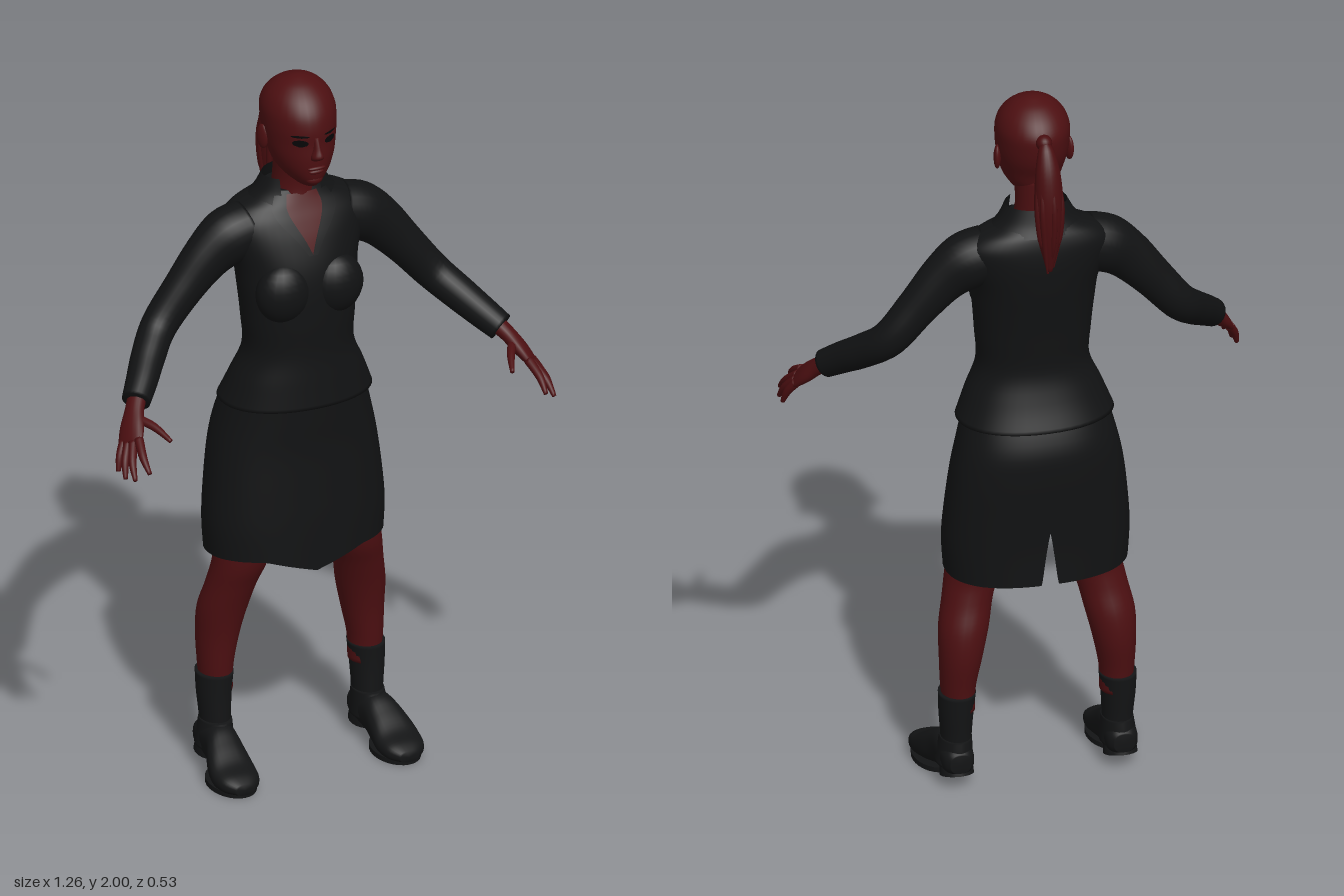
import * as THREE from 'three';
import { mergeVertices } from 'three/addons/utils/BufferGeometryUtils.js';

const material = (name, color, side = THREE.FrontSide) => {
  const m = new THREE.MeshStandardMaterial({ color, side });
  m.name = name;
  return m;
};
const X = new THREE.Vector3(1, 0, 0), Y = new THREE.Vector3(0, 1, 0), Z = new THREE.Vector3(0, 0, 1);

// Smooth interpolation of cross-sections [x, y, z, halfWidth, halfDepth]
function sectionAt(secs, t) {
  const n = secs.length - 1, f = Math.min(Math.max(t, 0), 1) * n, i = Math.min(Math.floor(f), n - 1), k = f - i;
  const at = (j) => secs[Math.min(Math.max(j, 0), n)];
  return secs[0].map((_, c) => {
    const p = at(i - 1)[c], q = at(i)[c], r = at(i + 1)[c], s = at(i + 2)[c];
    return q + 0.5 * k * (r - p + k * (2 * p - 5 * q + 4 * r - s + k * (3 * (q - r) + s - p)));
  });
}

// Finds the parameter of a given height on a rising loft
function tAtHeight(secs, y) {
  let lo = 0, hi = 1;
  for (let i = 0; i < 30; i++) {
    const mid = (lo + hi) / 2;
    if (sectionAt(secs, mid)[1] < y) lo = mid; else hi = mid;
  }
  return lo;
}

// Lofted skin: side is the width axis, up fixes the ring normal (null follows the path)
function loft(secs, o = {}) {
  const { side = X, up = Y, n = 32, rows = (secs.length - 1) * 5, e = 1, cap = true, off = 0, t0 = 0, t1 = 1,
    range = () => [-Math.PI, Math.PI] } = o;
  const pos = [], idx = [];
  const pw = (v) => Math.sign(v) * Math.pow(Math.abs(v), e);
  const ring = (t, k) => {
    const s = sectionAt(secs, t), c = new THREE.Vector3(s[0], s[1], s[2]);
    const a = sectionAt(secs, t - 0.02), b = sectionAt(secs, t + 0.02);
    const T = up ? up.clone() : new THREE.Vector3(b[0] - a[0], b[1] - a[1], b[2] - a[2]).normalize();
    const S = side.clone().addScaledVector(T, -side.dot(T)).normalize();
    const F = S.clone().cross(T);
    const [h0, h1] = range((t - t0) / (t1 - t0));
    for (let i = 0; i <= n; i++) {
      const h = h0 + (h1 - h0) * i / n;
      const p = c.clone().addScaledVector(S, k * (s[3] + off) * pw(Math.sin(h)))
        .addScaledVector(F, k * (s[4] + off) * pw(Math.cos(h)));
      pos.push(p.x, p.y, p.z);
    }
  };
  if (cap) ring(t0, 0);
  for (let j = 0; j <= rows; j++) ring(t0 + (t1 - t0) * j / rows, 1);
  if (cap) ring(t1, 0);
  const w = n + 1, count = pos.length / 3 / w;
  for (let j = 0; j < count - 1; j++) for (let i = 0; i < n; i++) {
    const a = j * w + i;
    idx.push(a, a + 1, a + w + 1, a, a + w + 1, a + w);
  }
  let g = new THREE.BufferGeometry();
  g.setAttribute('position', new THREE.Float32BufferAttribute(pos, 3));
  g.setIndex(idx);
  g = mergeVertices(g, 1e-5);
  g.computeVertexNormals();
  return g;
}

export function createModel() {
  const model = new THREE.Group();
  const skin = material('skin', 0x4c0f11), hair = material('hair', 0x480d0f, THREE.DoubleSide);
  const cloth = material('black cloth', 0x111213, THREE.DoubleSide);
  const leather = material('black leather', 0x131415), dark = material('eye black', 0x070607, THREE.DoubleSide);
  const skinPlate = material('neckline skin', 0x4c0f11, THREE.DoubleSide);
  const add = (name, geo, mat) => {
    const m = new THREE.Mesh(geo, mat);
    m.name = name;
    model.add(m);
    return m;
  };
  const ball = (name, mat, x, y, z, a, b, c) => {
    const m = add(name, new THREE.SphereGeometry(1, 20, 14), mat);
    m.position.set(x, y, z);
    m.scale.set(a, b, c);
    return m;
  };
  // Section from height, half width, front z and back z
  const slab = ([y, a, f, b]) => [0, y, (f + b) / 2, a, (f - b) / 2];

  // Head and neck
  const head = [[1.715, 0.03, 0.045, -0.09], [1.735, 0.052, 0.06, -0.125], [1.765, 0.073, 0.066, -0.14],
    [1.80, 0.086, 0.068, -0.15], [1.84, 0.094, 0.066, -0.167], [1.88, 0.098, 0.066, -0.175],
    [1.92, 0.097, 0.056, -0.174], [1.955, 0.083, 0.032, -0.152], [1.982, 0.056, -0.002, -0.118],
    [1.996, 0.025, -0.035, -0.083], [2.0, 0.004, -0.056, -0.064]].map(slab);
  add('head', loft(head), skin);
  add('neck', loft([[1.60, 0.075, -0.01, -0.15], [1.66, 0.058, -0.025, -0.15], [1.71, 0.053, -0.025, -0.148],
    [1.78, 0.055, -0.01, -0.145]].map(slab)), skin);
  add('nose', loft([[0, 1.803, 0.066, 0.017, 0.012], [0, 1.815, 0.069, 0.017, 0.022], [0, 1.835, 0.066, 0.010, 0.016],
    [0, 1.865, 0.060, 0.007, 0.009]], { n: 14 }), skin);
  ball('upperLip', skin, 0, 1.776, 0.063, 0.026, 0.006, 0.009);
  ball('lowerLip', skin, 0, 1.765, 0.061, 0.022, 0.007, 0.009);
  ball('chin', skin, 0, 1.738, 0.046, 0.025, 0.016, 0.017);
  for (const s of [1, -1]) {
    ball('ear', skin, s * 0.098, 1.833, -0.065, 0.010, 0.035, 0.02).rotation.y = -s * 0.3;
    // Eye and brow plates follow the face
    const mid = s * 0.46;
    const plate = (name, y0, y1, w) => add(name, loft(head, { t0: tAtHeight(head, y0), t1: tAtHeight(head, y1),
      off: 0.002, cap: false, rows: 6, n: 10,
      range: (v) => [mid - w * Math.sqrt(Math.max(0.05, 1 - (2 * v - 1) ** 2)),
        mid + w * Math.sqrt(Math.max(0.05, 1 - (2 * v - 1) ** 2))] }), dark);
    plate('eye', 1.842, 1.862, 0.22);
    plate('brow', 1.868, 1.875, 0.25);
  }

  // Ponytail with loose strands
  ball('hairTie', hair, 0, 1.915, -0.172, 0.022, 0.022, 0.024);
  add('ponytail', loft([[0, 1.56, -0.227, 0.008, 0.008], [0, 1.65, -0.228, 0.028, 0.026], [0, 1.75, -0.222, 0.038, 0.036],
    [0, 1.84, -0.212, 0.034, 0.031], [0, 1.90, -0.195, 0.022, 0.02], [0, 1.925, -0.178, 0.008, 0.012]],
    { n: 20 }), hair);
  for (let i = 0; i < 9; i++) {
    const h = i * 2.4, cx = Math.sin(h), cz = Math.cos(h);
    add('hairStrand', loft([[cx * 0.012, 1.545 + 0.012 * i, -0.228 + cz * 0.012, 0.002, 0.002],
      [cx * 0.027, 1.66, -0.227 + cz * 0.025, 0.008, 0.008], [cx * 0.034, 1.77, -0.220 + cz * 0.032, 0.008, 0.008],
      [cx * 0.014, 1.905, -0.19 + cz * 0.012, 0.004, 0.004]], { n: 8 }), hair);
  }

  // Jacket body, bust, neckline, lapels and collar
  const jacket = [[1.07, 0.213, 0.070, -0.225], [1.14, 0.185, 0.064, -0.195], [1.22, 0.152, 0.058, -0.172],
    [1.31, 0.156, 0.060, -0.176], [1.40, 0.164, 0.058, -0.186], [1.47, 0.172, 0.048, -0.195],
    [1.54, 0.195, 0.026, -0.199], [1.59, 0.205, 0.004, -0.196], [1.625, 0.172, -0.014, -0.188],
    [1.65, 0.118, -0.026, -0.176], [1.672, 0.08, -0.036, -0.158]].map(slab);
  add('jacket', loft(jacket, { e: 0.92, n: 48 }), cloth);
  const vee = { t0: tAtHeight(jacket, 1.51), t1: tAtHeight(jacket, 1.664), cap: false, e: 0.92, n: 12, rows: 16 };
  add('neckline', loft(jacket, { ...vee, off: 0.005, range: (v) => [-0.42 * v, 0.42 * v] }), skinPlate);
  for (const s of [1, -1]) {
    ball('bust', cloth, s * 0.075, 1.405, 0.018, 0.078, 0.085, 0.056);
    add('lapel', loft(jacket, { ...vee, off: 0.009,
      range: (v) => [s * 0.42 * v, s * (0.42 * v + 0.05 + 0.3 * v)].sort((p, q) => p - q) }), cloth);
  }
  add('collar', loft([[1.635, 0.135, -0.012, -0.188], [1.665, 0.106, -0.022, -0.172], [1.705, 0.084, -0.03, -0.157]].map(slab),
    { cap: false, range: (v) => [0.4 + 0.35 * v, 2 * Math.PI - 0.4 - 0.35 * v] }), cloth);

  // Skirt with a pointed front hem and a slit at the back
  const skirt = loft([[0.635, 0.248, 0.066, -0.236], [0.72, 0.253, 0.062, -0.236], [0.82, 0.246, 0.056, -0.24],
    [0.93, 0.232, 0.05, -0.245], [1.02, 0.212, 0.05, -0.24], [1.12, 0.185, 0.05, -0.2]].map(slab),
    { n: 64, e: 0.88, cap: false, range: (v) => {
      const s = 0.07 * Math.max(0, 1 - v / 0.32);
      return [-Math.PI + s, Math.PI - s];
    } });
  const p = skirt.attributes.position;
  for (let i = 0; i < p.count; i++) {
    const low = Math.max(0, 1 - (p.getY(i) - 0.635) / 0.12);
    if (p.getZ(i) > 0) p.setY(i, p.getY(i) - 0.042 * low * Math.max(0, 1 - Math.abs(p.getX(i)) / 0.14));
    else p.setY(i, p.getY(i) - 0.012 * low * Math.min(1, -p.getZ(i) / 0.2));
  }
  skirt.computeVertexNormals();
  add('skirt', skirt, cloth);

  for (const s of [1, -1]) {
    const flip = (list) => list.map(([x, ...r]) => [s * x, ...r]);
    // Sleeve, bent at the elbow
    add('sleeve', loft(flip([[0.13, 1.565, -0.09, 0.075, 0.075], [0.19, 1.545, -0.088, 0.072, 0.08],
      [0.25, 1.502, -0.085, 0.058, 0.068], [0.32, 1.425, -0.082, 0.05, 0.056], [0.395, 1.335, -0.072, 0.047, 0.05],
      [0.45, 1.28, -0.02, 0.045, 0.047], [0.495, 1.237, 0.035, 0.042, 0.043], [0.53, 1.204, 0.075, 0.038, 0.039]]),
      { side: Z, up: null, n: 24 }), cloth);

    // Hand with four fingers and a thumb
    const across = new THREE.Vector3(-0.45 * s, 0.25, 0.75).normalize();
    add('palm', loft(flip([[0.522, 1.212, 0.066, 0.027, 0.024], [0.543, 1.188, 0.094, 0.028, 0.021],
      [0.562, 1.16, 0.122, 0.036, 0.02], [0.578, 1.135, 0.148, 0.038, 0.015], [0.584, 1.125, 0.158, 0.034, 0.011]]),
      { side: across, up: null, n: 20 }), skin);
    const fingers = [[[0.566, 1.142, 0.172], [0.576, 1.113, 0.222], [0.575, 1.082, 0.262]],
      [[0.578, 1.132, 0.163], [0.6, 1.096, 0.207], [0.608, 1.06, 0.243]],
      [[0.587, 1.126, 0.15], [0.61, 1.09, 0.182], [0.62, 1.052, 0.207]],
      [[0.592, 1.125, 0.134], [0.612, 1.092, 0.152], [0.622, 1.056, 0.165]],
      [[0.548, 1.176, 0.112], [0.518, 1.166, 0.165], [0.496, 1.145, 0.222]]];
    fingers.forEach((f, i) => add(i === 4 ? 'thumb' : 'finger', loft(flip(f.map((q, j) => {
      const r = [0.013, 0.011, 0.006][j];
      return [...q, r, r];
    })), { side: across, up: null, n: 10 }), skin));

    // Leg and sock
    add('leg', loft(flip([[0.215, 0.22, -0.105, 0.043, 0.05], [0.217, 0.29, -0.106, 0.047, 0.055],
      [0.21, 0.38, -0.108, 0.058, 0.064], [0.2, 0.46, -0.098, 0.067, 0.069], [0.183, 0.54, -0.076, 0.068, 0.07],
      [0.162, 0.62, -0.06, 0.075, 0.08], [0.135, 0.75, -0.07, 0.088, 0.1], [0.11, 0.92, -0.085, 0.09, 0.11]]),
      { n: 24 }), skin);
    add('sock', loft(flip([[0.22, 0.09, -0.1, 0.04, 0.05], [0.221, 0.14, -0.1, 0.041, 0.05],
      [0.222, 0.21, -0.104, 0.046, 0.054], [0.22, 0.272, -0.106, 0.05, 0.059]]), { n: 24 }), leather);

    // Shoe, ankle opening and tilted heel
    add('shoe', loft(flip([[0.224, 0.078, -0.163, 0.028, 0.026], [0.224, 0.078, -0.14, 0.042, 0.04],
      [0.225, 0.08, -0.09, 0.046, 0.048], [0.229, 0.076, -0.04, 0.047, 0.056], [0.236, 0.056, 0.01, 0.057, 0.048],
      [0.239, 0.037, 0.06, 0.063, 0.034], [0.239, 0.03, 0.105, 0.054, 0.025], [0.238, 0.024, 0.135, 0.026, 0.014]]),
      { side: X.clone().negate(), up: Z, e: 0.8, n: 28 }), leather);
    add('shoeCuff', loft(flip([[0.225, 0.06, -0.094, 0.05, 0.068], [0.223, 0.1, -0.095, 0.046, 0.064],
      [0.221, 0.137, -0.097, 0.042, 0.056]]), { n: 24 }), leather);
    const heel = add('heel', new THREE.CylinderGeometry(0.044, 0.046, 0.03, 20), leather);
    heel.position.set(s * 0.224, 0.046, -0.115);
    heel.rotation.x = 0.25;
    const sole = add('sole', new THREE.CylinderGeometry(1, 1, 0.014, 28), leather);
    sole.position.set(s * 0.238, 0.008, 0.04);
    sole.scale.set(0.063, 1, 0.092);
  }
  return model;
}
